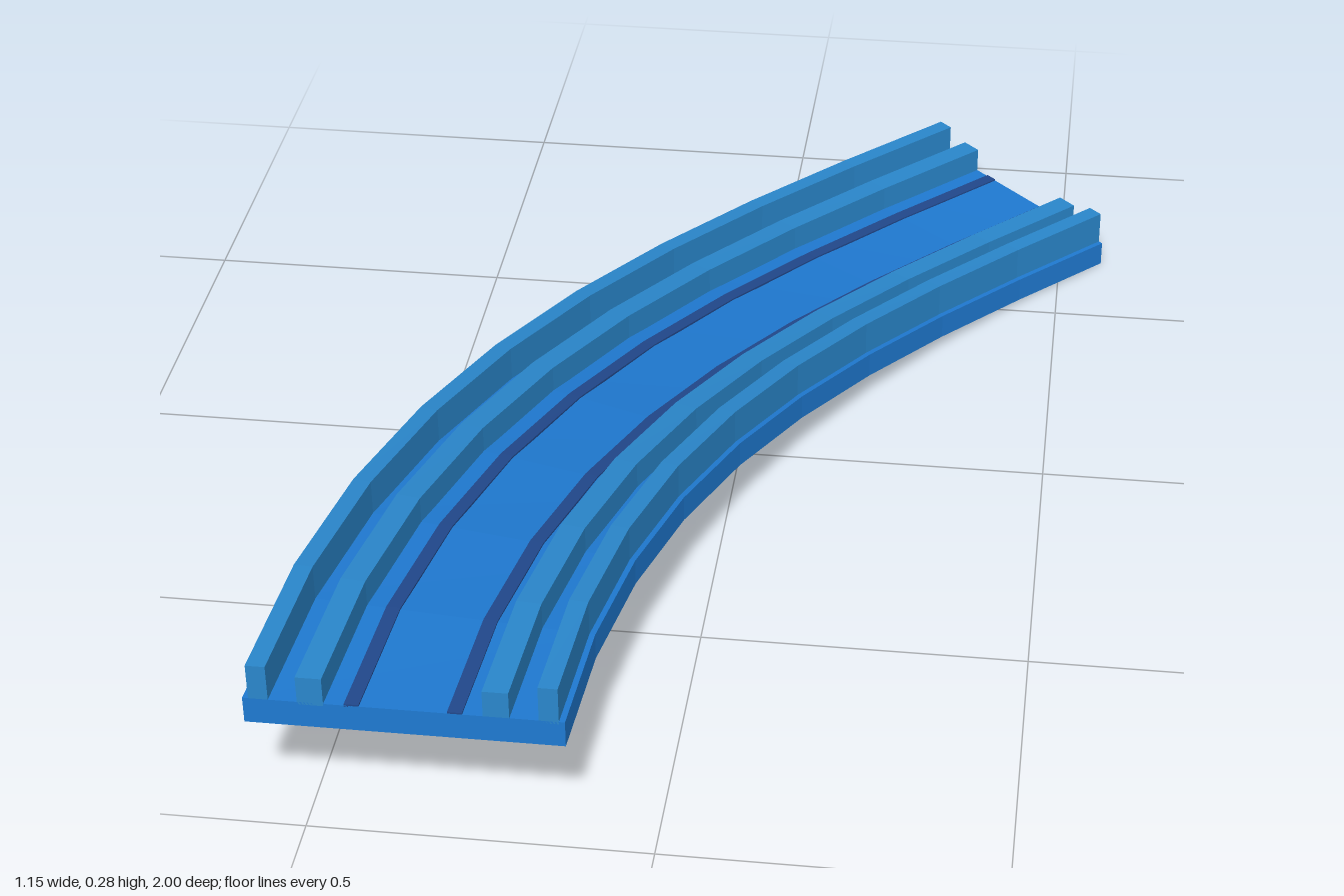
import * as THREE from 'three';

const SEGMENTS = 9;
const TURN = Math.PI / 4;      // plan angle of the curve
const RADIUS = 2.602;          // centreline radius
const CENTRE_X = 2.2545;       // turning centre, at z = 1
const DROP = 0.183;            // descent from the front end to the back end

// Sweeps a rectangle along the descending curve; u runs across the track, y up from its underside
function sweep(name, u0, u1, y0, y1, material) {
  const geometry = new THREE.BoxGeometry(u1 - u0, y1 - y0, 1, 1, 1, SEGMENTS);
  geometry.translate((u0 + u1) / 2, (y0 + y1) / 2, 0);
  const p = geometry.attributes.position;
  for (let i = 0; i < p.count; i++) {
    const t = 0.5 - p.getZ(i);
    const angle = t * TURN;
    const r = RADIUS - p.getX(i);
    const lift = DROP * (1 - t * t * (3 - 2 * t));
    p.setXYZ(i, CENTRE_X - r * Math.cos(angle), p.getY(i) + lift, 1 - r * Math.sin(angle));
  }
  geometry.computeVertexNormals();
  const mesh = new THREE.Mesh(geometry, material);
  mesh.name = name;
  return mesh;
}

function flat(name, color) {
  const material = new THREE.MeshStandardMaterial({ color, flatShading: true });
  material.name = name;
  return material;
}

export function createModel() {
  const group = new THREE.Group();
  group.name = 'curvedTrack';
  const bedBlue = flat('bedBlue', 0x1f7ad2);
  const railBlue = flat('railBlue', 0x2a87cc);
  const stripeBlue = flat('stripeBlue', 0x21488c);

  // Road bed
  group.add(sweep('bed', -0.2265, 0.2265, 0, 0.042, bedBlue));

  // Mirrored pairs: outer wall, guide rail and dark lane stripe
  const pairs = [
    ['Wall', 0.19, 0.218, 0.038, 0.099, railBlue],
    ['GuideRail', 0.112, 0.149, 0.038, 0.085, railBlue],
    ['LaneStripe', 0.062, 0.083, 0.04, 0.0445, stripeBlue],
  ];
  for (const [name, a, b, y0, y1, material] of pairs) {
    group.add(sweep('left' + name, a, b, y0, y1, material));
    group.add(sweep('right' + name, -b, -a, y0, y1, material));
  }
  return group;
}
